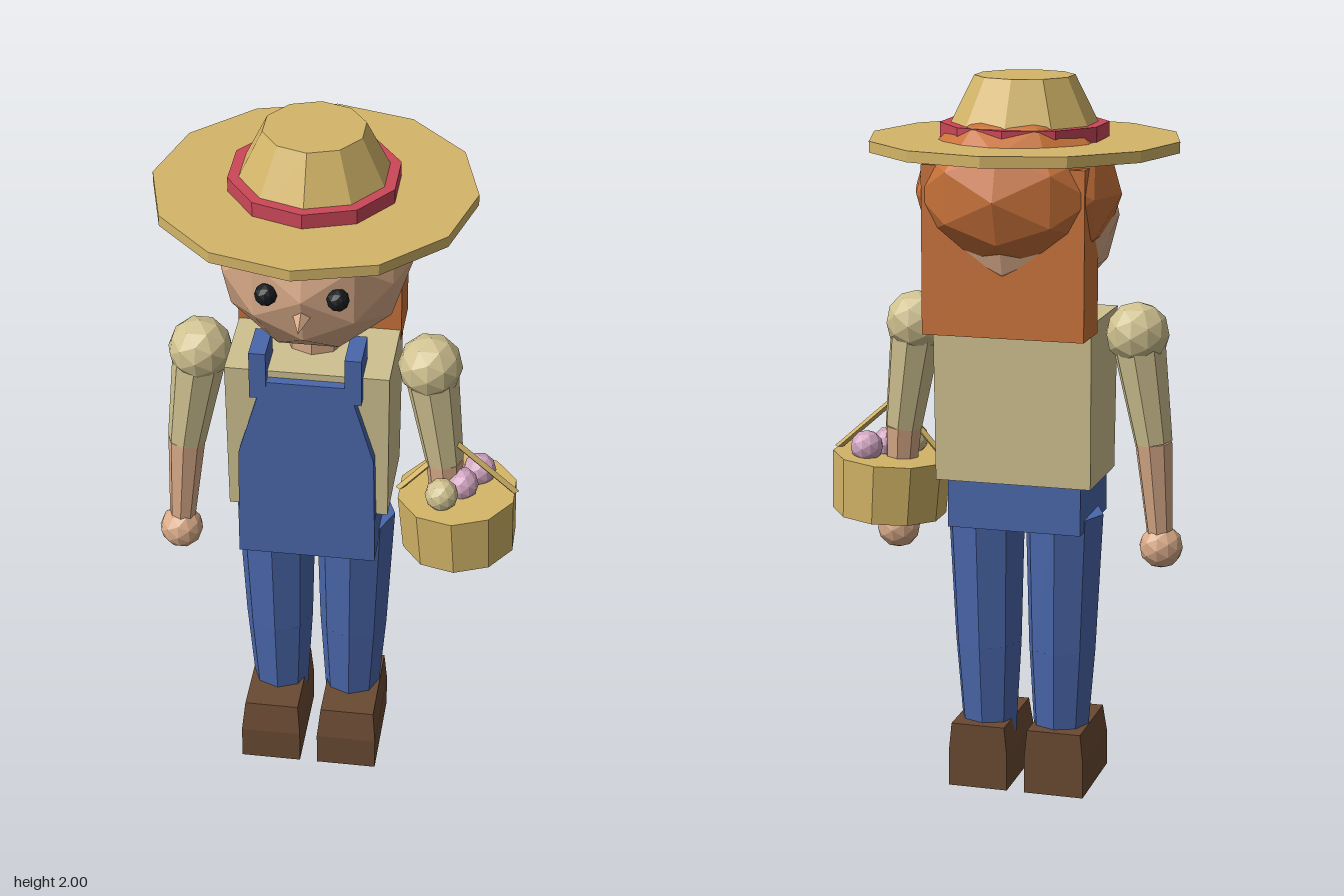
import * as THREE from 'three';

const mat = (name, color) => {
  const m = new THREE.MeshStandardMaterial({ color, flatShading: true });
  m.name = name;
  return m;
};

export function createModel() {
  const straw = mat('straw', 0xd4b568), skin = mat('skin', 0xd8aa88), hair = mat('ginger hair', 0xc8723a);
  const cream = mat('cream shirt', 0xcfc190), blue = mat('denim blue', 0x4a67ab), brown = mat('brown leather', 0x6a4a32);
  const red = mat('red ribbon', 0xcb4758), pink = mat('pink egg', 0xd0a4c0), black = mat('black eye', 0x16191d);

  const model = new THREE.Group();
  const body = new THREE.Group();
  body.name = 'farmer';
  body.position.x = -0.067;
  model.add(body);

  const add = (name, geo, material, x = 0, y = 0, z = 0, parent = body) => {
    const m = new THREE.Mesh(geo, material);
    m.name = name;
    m.position.set(x, y, z);
    parent.add(m);
    return m;
  };
  const ball = (r, detail = 1) => new THREE.IcosahedronGeometry(r, detail);
  // Tapered box: top face scaled and optionally shifted
  const taperBox = (w, h, d, sx, sz, shiftZ = 0) => {
    const g = new THREE.BoxGeometry(w, h, d);
    const p = g.attributes.position;
    for (let i = 0; i < p.count; i++) {
      if (p.getY(i) > 0) p.setXYZ(i, p.getX(i) * sx, p.getY(i), p.getZ(i) * sz + shiftZ);
    }
    g.computeVertexNormals();
    return g;
  };
  // Tapered limb between two points
  const limb = (name, a, b, ra, rb, sides, material) => {
    const A = new THREE.Vector3(...a), B = new THREE.Vector3(...b);
    const dir = A.clone().sub(B);
    const mid = A.clone().add(B).multiplyScalar(0.5);
    const m = add(name, new THREE.CylinderGeometry(ra, rb, dir.length(), sides), material, mid.x, mid.y, mid.z);
    m.quaternion.setFromUnitVectors(new THREE.Vector3(0, 1, 0), dir.normalize());
    return m;
  };

  // Straw hat
  add('hatBrim', new THREE.CylinderGeometry(0.425, 0.425, 0.03, 12), straw, 0, 1.82, 0);
  add('hatCrown', new THREE.CylinderGeometry(0.135, 0.225, 0.18, 10), straw, 0, 1.91, 0);
  add('hatBand', new THREE.CylinderGeometry(0.227, 0.227, 0.04, 10), red, 0, 1.855, 0);

  // Head, face and hair
  add('head', ball(0.263), skin, 0, 1.635, 0);
  add('neck', new THREE.CylinderGeometry(0.08, 0.08, 0.1, 8), skin, 0, 1.385, 0);
  for (const s of [-1, 1]) add('eye', ball(0.03), black, s * 0.093, 1.638, 0.237);
  const nose = add('nose', new THREE.ConeGeometry(0.027, 0.08, 4), skin, 0, 1.578, 0.27);
  nose.rotation.x = Math.PI / 2 + 0.15;
  add('hairCap', ball(0.285), hair, 0, 1.7, -0.065).scale.set(1, 0.78, 0.89);
  add('longHair', new THREE.BoxGeometry(0.445, 0.455, 0.15), hair, 0, 1.5525, -0.145);

  // Shirt and dungarees
  add('shirt', taperBox(0.436, 0.455, 0.275, 1.01, 1.09), cream, 0, 1.1275, 0.02);
  add('hips', new THREE.BoxGeometry(0.375, 0.14, 0.3), blue, 0, 0.835, 0.045);
  const bib = new THREE.Shape([[-0.187, 0.86], [0.187, 0.86], [0.183, 1.1], [0.115, 1.335], [-0.115, 1.335], [-0.183, 1.1]]
    .map(([x, y]) => new THREE.Vector2(x, y)));
  add('bib', new THREE.ExtrudeGeometry(bib, { depth: 0.08, bevelEnabled: false }), blue, 0, 0, 0.115);

  for (const s of [-1, 1]) {
    add('strap', new THREE.BoxGeometry(0.045, 0.14, 0.12), blue, s * 0.127, 1.355, 0.138);
    // Legs
    limb('upperLeg', [s * 0.112, 0.8, 0.015], [s * 0.107, 0.41, 0.018], 0.111, 0.096, 8, blue);
    limb('lowerLeg', [s * 0.107, 0.41, 0.018], [s * 0.104, 0.14, 0.02], 0.096, 0.077, 8, blue);
    // Shoes: upright sole block with a sloped upper
    add('shoeBase', new THREE.BoxGeometry(0.17, 0.1, 0.285), brown, s * 0.11, 0.05, 0.057);
    add('shoeUpper', taperBox(0.17, 0.085, 0.285, 0.9, 0.93, -0.01), brown, s * 0.11, 0.1425, 0.057);
    // Arms
    const shoulder = [s * 0.312, 1.31, 0.02], elbow = [s * 0.358, 1.01, 0.03], wrist = [s * 0.378, 0.73, 0.043];
    add('shoulder', ball(0.088), cream, ...shoulder);
    limb('sleeve', shoulder, elbow, 0.076, 0.053, 8, cream);
    limb('forearm', elbow, wrist, 0.052, 0.035, 8, skin);
    add('hand', ball(0.061), skin, s * 0.38, 0.712, 0.045);
  }

  // Egg basket hung on the left arm
  const basket = new THREE.Group();
  basket.name = 'basket';
  basket.position.set(0.335, 0.84, 0.045);
  basket.rotation.z = 0.06;
  model.add(basket);
  add('basketTub', new THREE.CylinderGeometry(0.167, 0.16, 0.168, 10), straw, 0, 0, 0, basket);
  add('basketHandle', new THREE.TorusGeometry(0.158, 0.013, 4, 2, Math.PI), straw, 0, 0.084, 0, basket);
  add('egg', ball(0.046), cream, -0.035, 0.115, 0.07, basket);
  add('egg', ball(0.046), pink, 0.015, 0.11, 0.01, basket);
  add('egg', ball(0.046), pink, 0.057, 0.11, -0.06, basket);

  return model;
}
